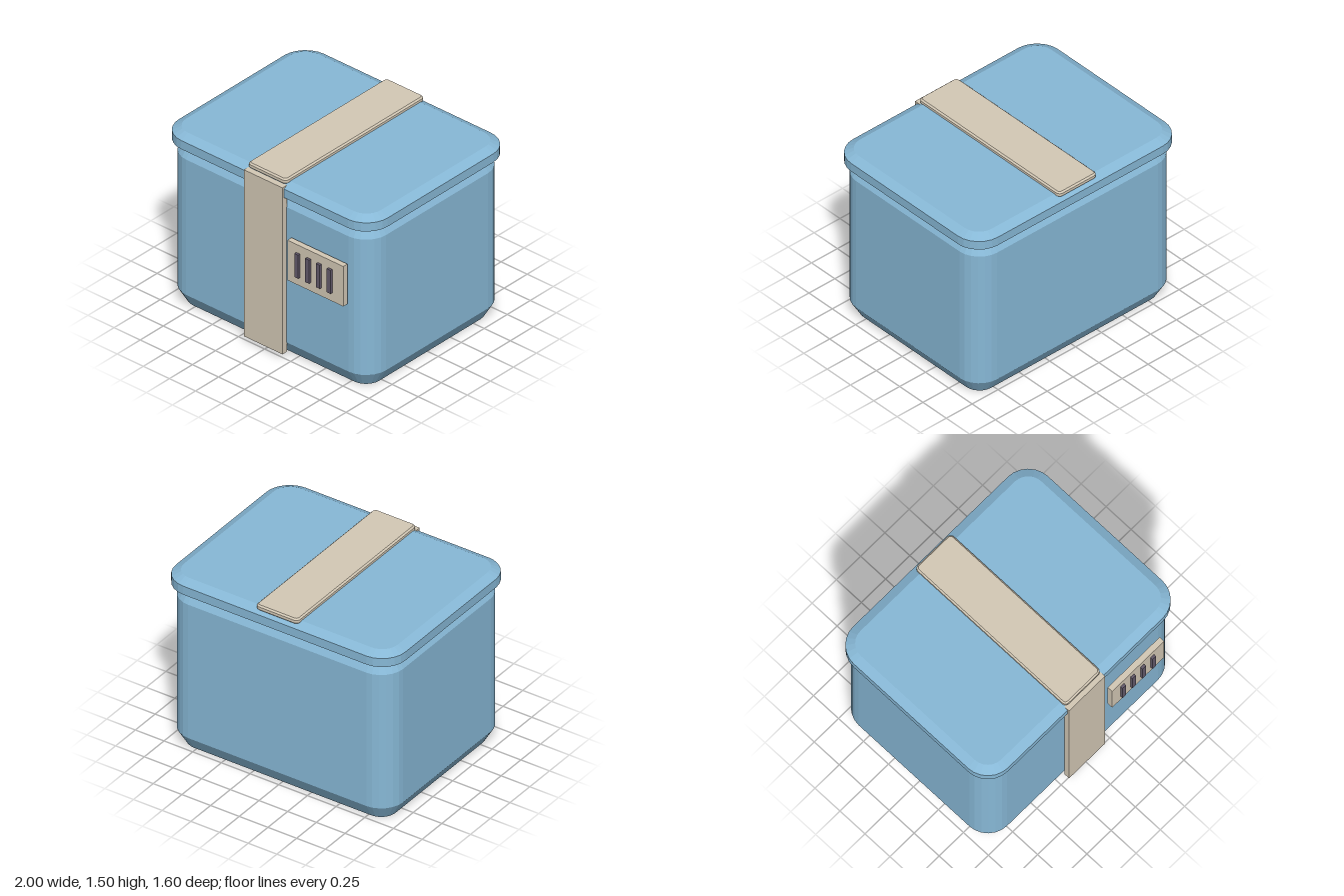
import * as THREE from 'three';

// Upright block with rounded corners and chamfered top and bottom rims
function chamferedBlock(width, depth, y0, y1, radius, inset, rise) {
  const x = width / 2 - inset, z = depth / 2 - inset, r = radius - inset;
  const shape = new THREE.Shape();
  shape.absarc(x - r, z - r, r, 0, Math.PI / 2);
  shape.absarc(r - x, z - r, r, Math.PI / 2, Math.PI);
  shape.absarc(r - x, r - z, r, Math.PI, Math.PI * 1.5);
  shape.absarc(x - r, r - z, r, Math.PI * 1.5, Math.PI * 2);
  shape.closePath();
  const geometry = new THREE.ExtrudeGeometry(shape, {
    depth: y1 - y0 - 2 * rise, curveSegments: 3,
    bevelEnabled: true, bevelSegments: 1, bevelSize: inset, bevelThickness: rise,
  });
  return geometry.rotateX(-Math.PI / 2).translate(0, y0 + rise, 0);
}

// Box given by its limits on each axis
function boxBetween(x0, x1, y0, y1, z0, z1) {
  return new THREE.BoxGeometry(x1 - x0, y1 - y0, z1 - z0)
    .translate((x0 + x1) / 2, (y0 + y1) / 2, (z0 + z1) / 2);
}

export function createModel() {
  const model = new THREE.Group();
  model.name = 'coolBox';

  const material = (name, color) => {
    const m = new THREE.MeshStandardMaterial({ color, flatShading: true });
    m.name = name;
    return m;
  };
  const blue = material('blue shell', 0x87b8d6);
  const tan = material('tan trim', 0xd3c8b5);
  const plum = material('dark plum', 0x645a6b);

  const add = (name, geometry, mat, z = 0) => {
    const mesh = new THREE.Mesh(geometry, mat);
    mesh.name = name;
    mesh.position.z = z;
    model.add(mesh);
  };

  // Shell and overhanging lid
  add('body', chamferedBlock(1.935, 1.49, 0, 1.39, 0.195, 0.07, 0.12), blue, -0.025);
  add('lid', chamferedBlock(2, 1.55, 1.33, 1.473, 0.205, 0.07, 0.035), blue, -0.025);

  // Strap over the lid and down the front
  add('lidStrap', chamferedBlock(0.37, 1.51, 1.457, 1.504, 0.035, 0.012, 0.012), tan, -0.025);
  add('frontStrap', boxBetween(-0.185, 0.185, 0.04, 1.455, 0.718, 0.766), tan);

  // Vent panel with four raised slats
  add('ventPanel', boxBetween(0.245, 0.78, 0.703, 1.043, 0.735, 0.78), tan);
  for (let i = 0; i < 4; i++) {
    const x = 0.348 + i * 0.103;
    add('ventSlat', boxBetween(x - 0.018, x + 0.018, 0.775, 0.975, 0.76, 0.8), plum);
  }
  return model;
}
